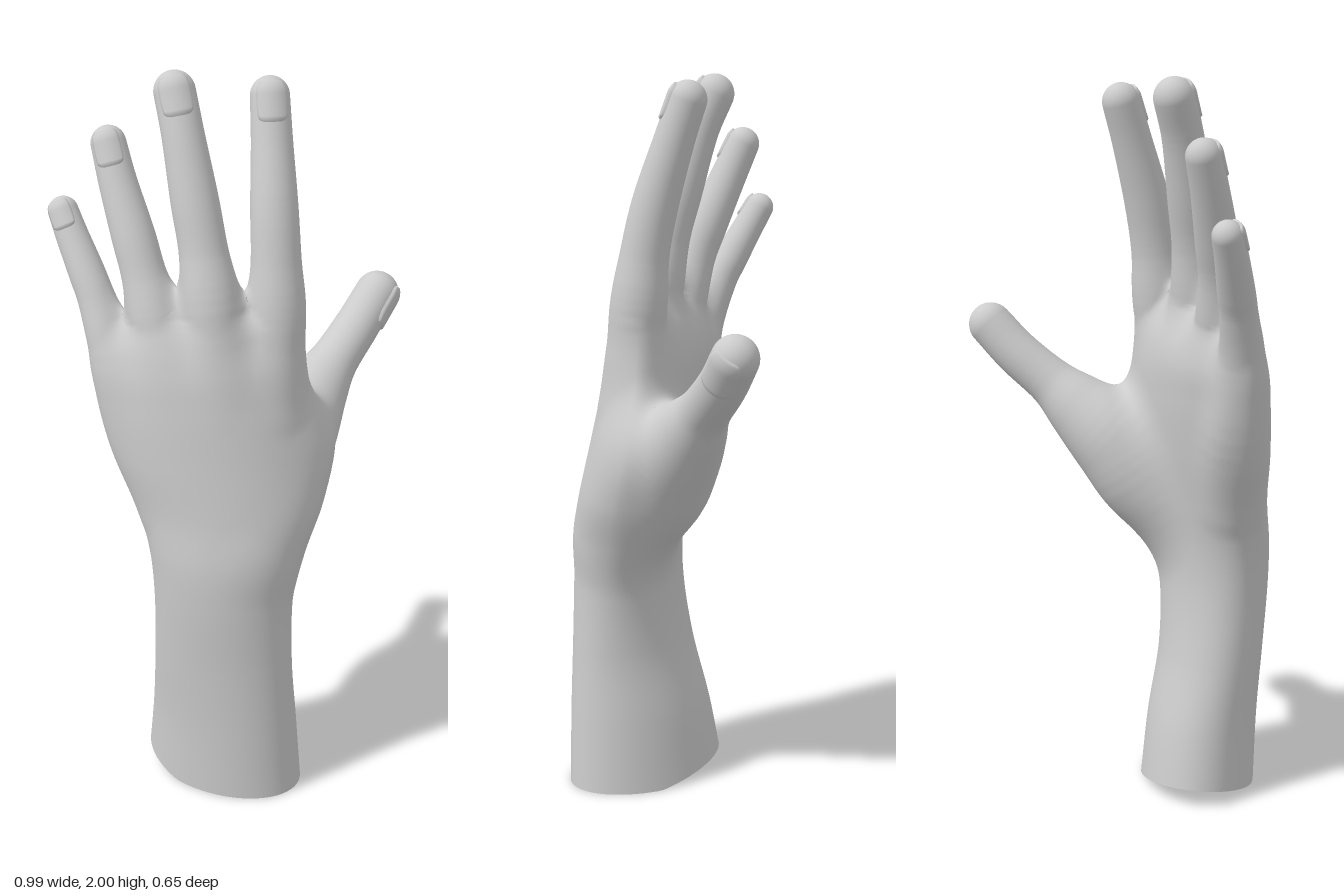
import * as THREE from 'three';

const skin = new THREE.MeshStandardMaterial({ color: 0xcccccc, side: THREE.DoubleSide });

// Smooth interpolation through rows of numbers placed at the given times
function spline(times, rows) {
  const curve = new THREE.CubicInterpolant(times, rows.flat(), rows[0].length);
  return t => Array.from(curve.evaluate(t));
}

// Forearm and palm: y, then left x, right x, left edge z, right edge z, back z, palm z
const armSections = [
  [0, -0.26, 0.17, 0.052, 0.198, 0.31, -0.06],
  [0.2, -0.245, 0.155, 0.085, 0.2, 0.316, -0.03],
  [0.4, -0.24, 0.14, 0.13, 0.205, 0.32, 0.015],
  [0.6, -0.24, 0.145, 0.155, 0.185, 0.324, 0.035],
  [0.72, -0.25, 0.17, 0.15, 0.16, 0.318, 0.03],
  [0.85, -0.28, 0.22, 0.12, 0.13, 0.295, 0.015],
  [1.0, -0.335, 0.235, 0.085, 0.09, 0.265, -0.005],
  [1.15, -0.365, 0.2, 0.06, 0.08, 0.235, -0.018],
  [1.25, -0.37, 0.175, 0.045, 0.08, 0.21, -0.018],
  [1.32, -0.33, 0.15, 0.05, 0.08, 0.18, 0.003],
  [1.37, -0.25, 0.13, 0.06, 0.09, 0.15, 0.037],
  [1.41, -0.09, 0.04, 0.09, 0.095, 0.11, 0.075],
];
const armTop = 1.41;
const armAt = spline(armSections.map(s => s[0]), armSections.map(s => s.slice(1)));

function armFrame(y) {
  const [xl, xr, zl, zr, back, palm] = armAt(y);
  const mx = (xl + xr) / 2, hx = (xr - xl) / 2, mz = (zl + zr) / 2;
  return {
    mx, hx,
    edge: x => mz + (x - mx) / hx * (zr - zl) / 2,
    depth: c => c > 0 ? back - mz : mz - palm,
  };
}

function armPoint(v, u) {
  const s = Math.sin(u * Math.PI * 2), c = Math.cos(u * Math.PI * 2);
  // uneven cut at the bottom of the forearm
  const y = THREE.MathUtils.lerp(0.05 * Math.max(0, -0.8 * s - 0.7 * c), armTop, v);
  const f = armFrame(y);
  const x = f.mx + f.hx * s;
  return [x, y, f.edge(x) + f.depth(c) * c];
}

// Approximate distance to the forearm and palm
function armDistance(x, y, z) {
  const f = armFrame(THREE.MathUtils.clamp(y, 0, armTop));
  const dx = x - f.mx, dz = z - f.edge(x);
  const rho = Math.max(1e-4, Math.hypot(dx / f.hx, dz / f.depth(dz)));
  const d = Math.hypot(dx, dz) * (1 - 1 / rho);
  return y > armTop ? Math.hypot(Math.max(d, 0), y - armTop) : d;
}

// Fingers: blend width, direction of the nail, joints as x, y, z, radius
const fingers = {
  index: { blend: 0.05, back: [0, 0.2, 1], joints: [
    [0.085, 1.12, 0.13, 0.06], [0.1, 1.36, 0.1, 0.078], [0.1, 1.52, 0.08, 0.067],
    [0.097, 1.66, 0.05, 0.063], [0.095, 1.82, 0, 0.055], [0.093, 1.93, -0.038, 0.052]] },
  middle: { blend: 0.05, back: [-0.05, 0.2, 1], joints: [
    [-0.05, 1.12, 0.14, 0.06], [-0.07, 1.38, 0.11, 0.08], [-0.09, 1.55, 0.077, 0.065],
    [-0.11, 1.68, 0.045, 0.063], [-0.135, 1.84, 0, 0.056], [-0.153, 1.945, -0.042, 0.055]] },
  ring: { blend: 0.05, back: [-0.15, 0.2, 1], joints: [
    [-0.17, 1.1, 0.12, 0.06], [-0.21, 1.33, 0.08, 0.075], [-0.245, 1.48, 0.043, 0.06],
    [-0.27, 1.58, 0.01, 0.058], [-0.305, 1.71, -0.04, 0.051], [-0.326, 1.805, -0.078, 0.047]] },
  little: { blend: 0.05, back: [-0.25, 0.2, 1], joints: [
    [-0.2, 0.85, 0.12, 0.06], [-0.27, 1.05, 0.068, 0.075], [-0.33, 1.26, 0.048, 0.063],
    [-0.37, 1.4, 0.005, 0.051], [-0.395, 1.47, -0.025, 0.049], [-0.43, 1.56, -0.068, 0.044],
    [-0.451, 1.618, -0.097, 0.041]] },
  thumb: { blend: 0.1, back: [0.85, -0.4, 0.4], joints: [
    [0.03, 0.72, 0.17, 0.09], [0.09, 0.86, 0.05, 0.126], [0.15, 0.98, -0.01, 0.132],
    [0.225, 1.07, -0.085, 0.097], [0.288, 1.14, -0.14, 0.07], [0.367, 1.225, -0.21, 0.064],
    [0.43, 1.305, -0.26, 0.062]] },
};
for (const spec of Object.values(fingers)) {
  spec.at = spline(spec.joints.map((_, i) => i / (spec.joints.length - 1)), spec.joints);
  spec.chain = Array.from({ length: 33 }, (_, i) => spec.at(i / 32));
}

// Distance to a finger as a chain of tapering rods
function fingerDistance(chain, x, y, z) {
  let best = Infinity;
  for (let i = 1; i < chain.length; i++) {
    const a = chain[i - 1], b = chain[i];
    const ex = b[0] - a[0], ey = b[1] - a[1], ez = b[2] - a[2];
    const px = x - a[0], py = y - a[1], pz = z - a[2];
    const len = Math.sqrt(ex * ex + ey * ey + ez * ez);
    const run = (px * ex + py * ey + pz * ez) / len;
    const out = Math.sqrt(Math.max(0, px * px + py * py + pz * pz - run * run));
    const taper = (b[3] - a[3]) / len;
    // nearest point of the cone, shifted along the rod by its taper
    const t = THREE.MathUtils.clamp(
      (run + out * taper / Math.sqrt(Math.max(0.1, 1 - taper * taper))) / len, 0, 1);
    best = Math.min(best, Math.hypot(out, run - t * len) - a[3] - taper * len * t);
  }
  return best;
}

// Distance to the whole hand, with soft fillets where parts meet
function handDistance(x, y, z) {
  let d = armDistance(x, y, z);
  for (const { blend, chain } of Object.values(fingers)) {
    const e = fingerDistance(chain, x, y, z);
    const h = Math.max(blend - Math.abs(d - e), 0);
    d = Math.min(d, e) - h * h / (4 * blend);
  }
  return d;
}

function slope(p, d) {
  const e = 0.002;
  return new THREE.Vector3(handDistance(p.x + e, p.y, p.z) - d,
    handDistance(p.x, p.y + e, p.z) - d, handDistance(p.x, p.y, p.z + e) - d).divideScalar(e);
}

// Rings or strips of vertices from point(v, u)
function surface(name, rows, cols, closed, point) {
  const pos = [], index = [];
  const n = closed ? cols : cols + 1;
  for (let i = 0; i <= rows; i++) {
    for (let j = 0; j < n; j++) pos.push(...point(i / rows, j / cols));
  }
  for (let i = 0; i < rows; i++) {
    for (let j = 0; j < cols; j++) {
      const k = (j + 1) % n;
      const a = i * n + j, b = i * n + k, c = a + n, d = b + n;
      index.push(a, b, d, a, d, c);
    }
  }
  const geo = new THREE.BufferGeometry();
  geo.setAttribute('position', new THREE.Float32BufferAttribute(pos, 3));
  geo.setIndex(index);
  geo.computeVertexNormals();
  const mesh = new THREE.Mesh(geo, skin);
  mesh.name = name;
  return mesh;
}

// Slide the vertices near a join onto the filleted skin, with matching normals
function blendIntoHand(mesh) {
  const { position, normal } = mesh.geometry.attributes;
  const p = new THREE.Vector3();
  for (let i = 0; i < position.count; i++) {
    p.fromBufferAttribute(position, i);
    let d = handDistance(p.x, p.y, p.z);
    if (d < -0.05) continue; // buried in another part
    for (let k = 0; k < 4 && Math.abs(d) > 1e-4; k++) {
      const g = slope(p, d);
      p.addScaledVector(g, -d / Math.max(0.3, g.lengthSq()));
      d = handDistance(p.x, p.y, p.z);
    }
    position.setXYZ(i, p.x, p.y, p.z);
    normal.setXYZ(i, ...slope(p, d).normalize());
  }
  return mesh;
}

// Point on a finger: v up to 0.8 runs along it, the rest rounds the tip
function fingerPoint({ at, back }, v, a, lift = 0) {
  const t = Math.min(1, v / 0.8);
  const phi = Math.max(0, v - 0.8) / 0.2 * Math.PI / 2;
  const centre = s => new THREE.Vector3(...at(s).slice(0, 3));
  const r = at(t)[3] + lift;
  const along = centre(Math.min(1, t + 0.01)).sub(centre(Math.max(0, t - 0.01))).normalize();
  const up = new THREE.Vector3(...back);
  up.addScaledVector(along, -up.dot(along)).normalize();
  const side = new THREE.Vector3().crossVectors(up, along);
  return centre(t).addScaledVector(along, r * Math.sin(phi))
    .addScaledVector(side, r * Math.cos(phi) * Math.cos(a))
    .addScaledVector(up, r * Math.cos(phi) * Math.sin(a)).toArray();
}

function finger(name, spec) {
  const group = new THREE.Group();
  group.name = name === 'thumb' ? name : name + 'Finger';
  group.add(blendIntoHand(surface(name + 'Skin', 70, 36, true,
    (v, u) => fingerPoint(spec, v, u * Math.PI * 2))));
  // nail plate: raised patch with its rim sunk into the skin
  group.add(surface(name + 'Nail', 16, 14, false, (v, u) => {
    const rim = v === 0 || v === 1 || u === 0 || u === 1;
    const p = v * 2 - 1, q = u * 2 - 1;
    const a = Math.PI / 2 + 0.9 * q * (1 - 0.2 * p ** 4);
    return fingerPoint(spec, 0.79 + 0.1 * p * (1 - 0.15 * q ** 4), a, rim ? -0.004 : 0.005);
  }));
  return group;
}

export function createModel() {
  const hand = new THREE.Group();
  hand.name = 'hand';
  hand.add(blendIntoHand(surface('forearmAndPalm', 110, 72, true, armPoint)));
  for (const [name, spec] of Object.entries(fingers)) hand.add(finger(name, spec));
  return hand;
}
